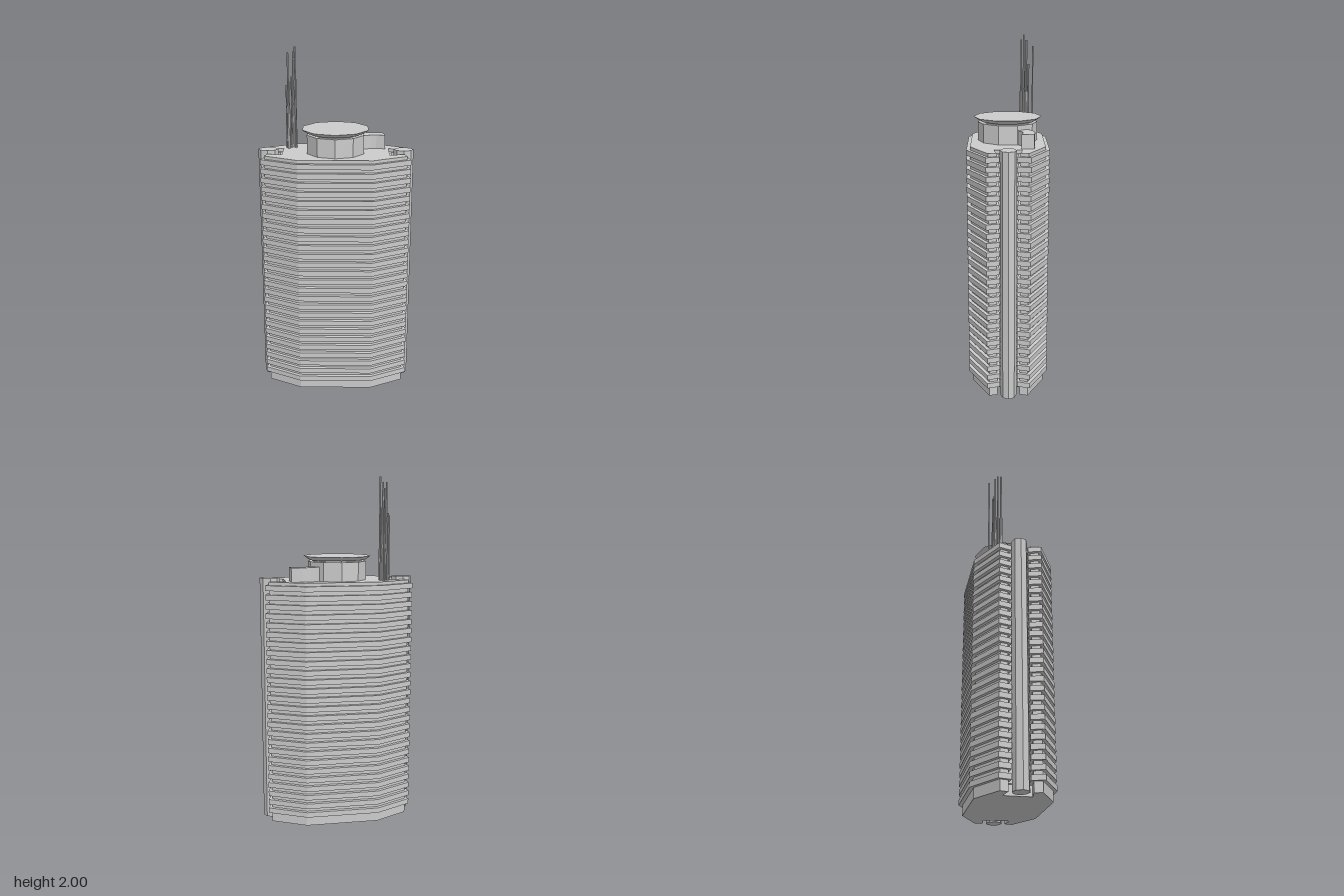
import * as THREE from 'three';

const material = new THREE.MeshStandardMaterial({ color: 0xcccccc, flatShading: true, side: THREE.DoubleSide });

// Extrude a plan given as [x, z] points from y0 to y1
function prism(name, plan, y0, y1) {
  const shape = new THREE.Shape(plan.map(([x, z]) => new THREE.Vector2(x, -z)));
  const geo = new THREE.ExtrudeGeometry(shape, { depth: y1 - y0, bevelEnabled: false });
  geo.rotateX(-Math.PI / 2).translate(0, y0, 0);
  const mesh = new THREE.Mesh(geo, material);
  mesh.name = name;
  return mesh;
}

// Mirror one quarter of the plan into a full symmetric outline
function fullPlan(quarter) {
  const right = [...quarter, ...quarter.map(([x, z]) => [x, -z]).reverse()];
  return [...right, ...right.map(([x, z]) => [-x, z]).reverse()];
}

function frustum(name, rTop, rBottom, y0, y1, sides, x = 0, z = 0) {
  const geo = new THREE.CylinderGeometry(rTop, rBottom, y1 - y0, sides);
  geo.translate(x, (y0 + y1) / 2, z);
  const mesh = new THREE.Mesh(geo, material);
  mesh.name = name;
  return mesh;
}

export function createModel() {
  const model = new THREE.Group();
  model.name = 'tower';
  const cx = -0.004;

  // Recessed core with a notch at each end
  const core = prism('core', fullPlan([[0.21, 0.209], [0.403, 0.109], [0.39, 0.064], [0.305, 0.077]]), 0, 1.42);
  core.position.x = cx;
  model.add(core);

  // Projecting floor slabs
  const floors = new THREE.Group();
  floors.name = 'floorSlabs';
  const slabPlan = fullPlan([[0.21, 0.231], [0.424, 0.12], [0.403, 0.048], [0.32, 0.057]]);
  const count = 26, thickness = 0.03, first = 0.058;
  const step = (1.402 - thickness - first) / (count - 1);
  for (let i = 0; i < count; i++) {
    const y = first + i * step;
    floors.add(prism('floorSlab', slabPlan, y, y + thickness));
  }
  floors.position.x = cx;
  model.add(floors);

  // Octagonal service columns standing in the notches
  for (const side of [-1, 1]) {
    const column = frustum(side > 0 ? 'leftColumn' : 'rightColumn', 0.057, 0.057, 0, 1.435, 8);
    column.scale.z = 0.81;
    column.position.x = cx + side * 0.388;
    model.add(column);
  }

  // Ten-sided rooftop drum with a flared cap
  const roofHouse = new THREE.Group();
  roofHouse.name = 'roofHouse';
  roofHouse.add(
    frustum('drum', 0.17, 0.17, 1.42, 1.527, 10),
    frustum('neck', 0.145, 0.145, 1.527, 1.54, 10),
    frustum('flaredCap', 0.196, 0.165, 1.535, 1.557, 10),
  );
  roofHouse.position.x = -0.006;
  model.add(roofHouse);

  // Curved annex beside the drum
  model.add(prism('annex', [
    [0.11, -0.11], [0.135, -0.127], [0.165, -0.142], [0.21, -0.149], [0.275, -0.142],
    [0.28, -0.071], [0.23, -0.083], [0.2, -0.081], [0.175, -0.07], [0.14, -0.05],
  ], 1.42, 1.5));

  // Antenna cluster: x, z, top, base radius
  const antennas = new THREE.Group();
  antennas.name = 'antennas';
  const masts = [
    [-0.278, -0.085, 1.97, 0.011], [-0.25, -0.115, 1.97, 0.01], [-0.238, -0.098, 2.0, 0.006],
    [-0.25, -0.152, 1.935, 0.005], [-0.238, -0.127, 1.83, 0.006], [-0.278, -0.127, 1.8, 0.006],
    [-0.262, -0.127, 1.83, 0.005], [-0.262, -0.103, 1.6, 0.005], [-0.29, -0.105, 1.785, 0.005],
  ];
  for (const [x, z, top, r] of masts) {
    const middle = 1.42 + (top - 1.42) * 0.45;
    antennas.add(frustum('mastBase', r * 0.9, r, 1.415, middle, 8, x, z));
    antennas.add(frustum('mastTip', Math.min(r * 0.8, 0.005), Math.min(r * 0.8, 0.005), middle, top, 8, x, z));
  }
  model.add(antennas);

  return model;
}
